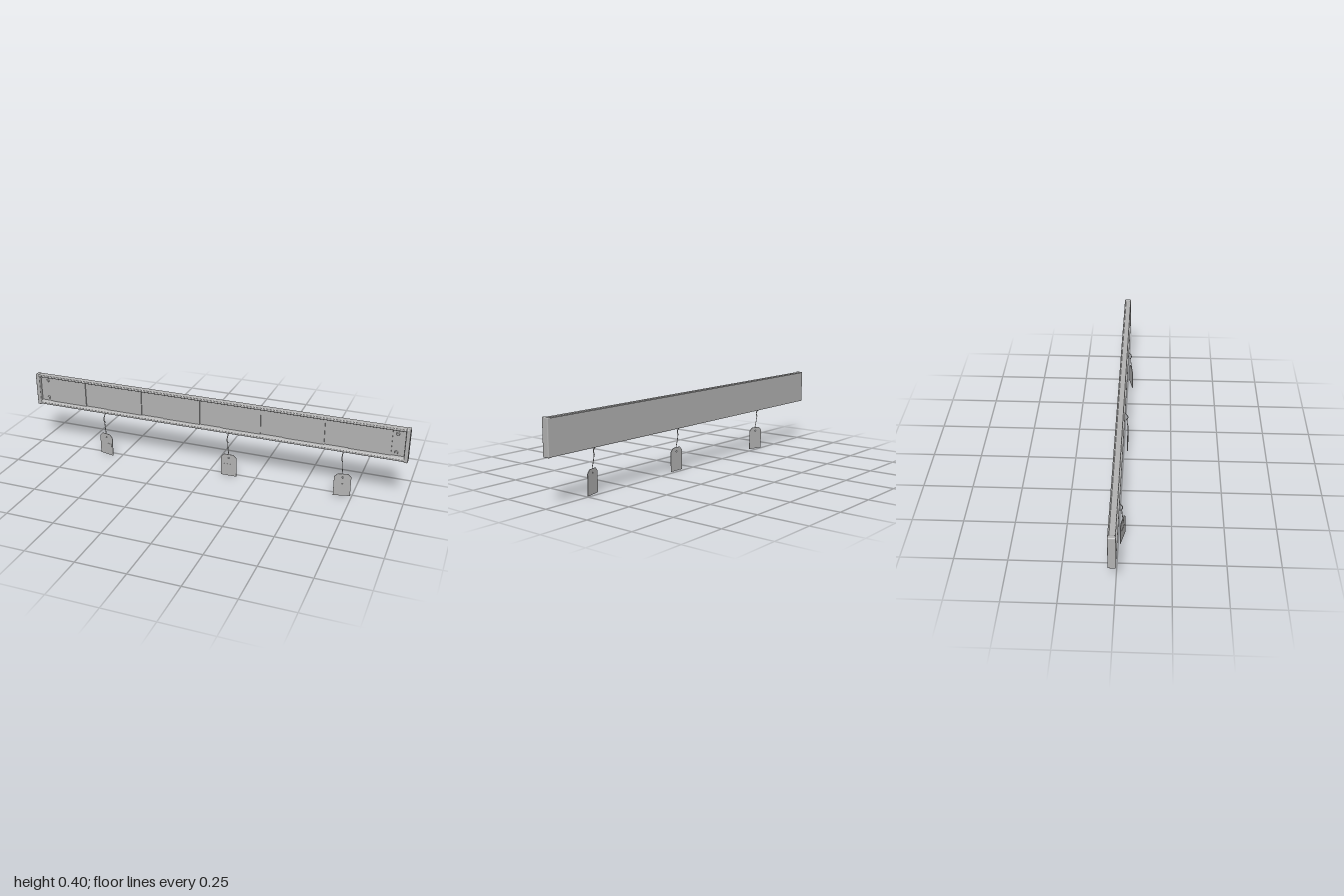
import * as THREE from 'three';
import { toCreasedNormals } from 'three/addons/utils/BufferGeometryUtils.js';
import { RoundedBoxGeometry } from 'three/addons/geometries/RoundedBoxGeometry.js';

export function createModel() {
  const root = new THREE.Group();
  const grey = new THREE.MeshStandardMaterial({ color: 0xb4b4b4 });
  grey.name = 'plain grey';

  function add(parent, name, geometry, x = 0, y = 0, z = 0) {
    const mesh = new THREE.Mesh(geometry, grey);
    mesh.name = name;
    mesh.position.set(x, y, z);
    parent.add(mesh);
    return mesh;
  }

  // Channel rail: a C section with rounded lips, swept along x (shape x is -z)
  const c = new THREE.Shape();
  c.moveTo(0.028, 0.228);
  c.lineTo(0.028, 0.396);
  c.lineTo(0.023, 0.396);
  c.lineTo(0.021, 0.398);
  c.lineTo(0.0, 0.398);
  c.quadraticCurveTo(-0.007, 0.398, -0.007, 0.391);
  c.quadraticCurveTo(-0.007, 0.384, 0.0, 0.384);
  c.lineTo(0.014, 0.381);
  c.lineTo(0.014, 0.248);
  c.lineTo(0.0, 0.245);
  c.quadraticCurveTo(-0.007, 0.244, -0.007, 0.236);
  c.quadraticCurveTo(-0.007, 0.228, 0.0, 0.228);
  c.closePath();
  const railGeo = new THREE.ExtrudeGeometry(c, { depth: 1.97, bevelEnabled: false, curveSegments: 6 });
  railGeo.translate(0, 0, -0.985).rotateY(Math.PI / 2);
  add(root, 'rail', toCreasedNormals(railGeo, 0.6));

  // Six insert cards with gaps between them
  for (let i = 0; i < 6; i++) {
    add(root, 'insertCard', new THREE.BoxGeometry(0.205, 0.133, 0.006), (i - 2.5) * 0.3255, 0.3145, -0.0115);
  }

  // End caps and mounting screws
  for (const side of [-1, 1]) {
    add(root, 'endCap', new RoundedBoxGeometry(0.02, 0.175, 0.036, 3, 0.005), side * 0.99, 0.3125, -0.01);
    for (const y of [0.265, 0.362]) {
      const head = new THREE.CylinderGeometry(0.006, 0.009, 0.006, 16).rotateX(Math.PI / 2);
      add(root, 'screw', head, side * 0.94, y, -0.011);
    }
  }

  // Tag outline with clipped corners and a string hole
  const outline = new THREE.Shape();
  [[-0.042, 0], [0.042, 0], [0.042, 0.103], [0.025, 0.12], [-0.025, 0.12], [-0.042, 0.103]]
    .forEach(([x, y], i) => (i ? outline.lineTo(x, y) : outline.moveTo(x, y)));
  outline.closePath();
  outline.holes.push(new THREE.Path().absarc(0, 0.1, 0.004, 0, Math.PI * 2, true));
  const tagGeo = new THREE.ExtrudeGeometry(outline, { depth: 0.003, bevelEnabled: false, curveSegments: 8 });

  // Bent hook under the rail and the string below it
  const path = (pts) => new THREE.CatmullRomCurve3(pts.map((p) => new THREE.Vector3(...p)));
  const hookGeo = new THREE.TubeGeometry(path([
    [-0.01, 0.23, -0.002], [-0.01, 0.219, 0.01], [-0.01, 0.208, 0.018],
    [-0.01, 0.197, 0.02], [-0.009, 0.188, 0.016], [-0.008, 0.181, 0.011],
  ]), 20, 0.0025, 8);
  const stringGeo = new THREE.TubeGeometry(path([
    [-0.009, 0.186, 0.015], [-0.005, 0.15, 0.018], [0, 0.12, 0.021], [0, 0.1, 0.021],
  ]), 16, 0.0018, 6);

  // Three hanging tags, the outer two turned
  for (const [x, turn] of [[-0.585, -0.24], [0.11, 0], [0.7, 0.24]]) {
    const hanger = new THREE.Group();
    hanger.name = 'hangingTag';
    hanger.position.x = x;
    add(hanger, 'hook', hookGeo);
    add(hanger, 'string', stringGeo);
    const tag = new THREE.Group();
    tag.name = 'tag';
    tag.position.z = 0.018;
    tag.rotation.y = turn;
    add(tag, 'tagCard', tagGeo);
    add(tag, 'tagLabel', new THREE.BoxGeometry(0.07, 0.042, 0.001), 0, 0.045, 0.0032);
    hanger.add(tag);
    root.add(hanger);
  }

  return root;
}
